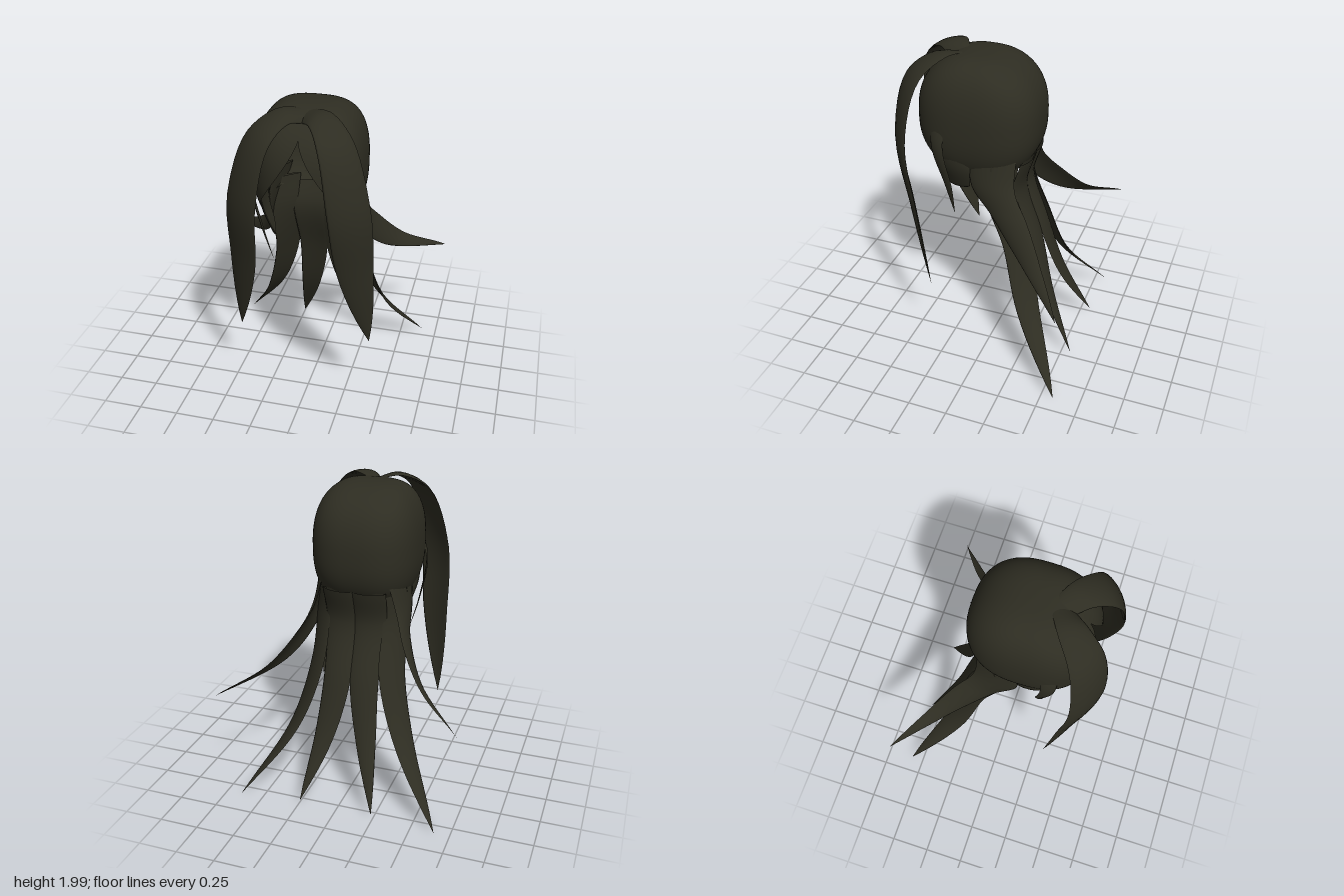
import * as THREE from 'three';

const hair = new THREE.MeshStandardMaterial({ color: 0x2e2d22, side: THREE.DoubleSide });
hair.name = 'dark olive hair';

const vec = (p) => new THREE.Vector3(...p);

// Smooth surface through a grid of points, point(i, j) for rows and columns
function gridMesh(name, rows, cols, point) {
  const pos = [], index = [];
  for (let i = 0; i <= rows; i++) {
    for (let j = 0; j <= cols; j++) {
      pos.push(...point(i, j).toArray());
      if (i < rows && j < cols) {
        const a = i * (cols + 1) + j, c = a + cols + 1;
        index.push(a, a + 1, c, a + 1, c + 1, c);
      }
    }
  }
  const g = new THREE.BufferGeometry();
  g.setAttribute('position', new THREE.Float32BufferAttribute(pos, 3));
  g.setIndex(index);
  g.computeVertexNormals();
  const mesh = new THREE.Mesh(g, hair);
  mesh.name = name;
  return mesh;
}

// Lock of hair: a bowed lens section swept along a path. The half width blends
// from root to end and closes to a point; a higher taper keeps it wide for longer.
function lock(name, path, rootHalf, endHalf, taper, side) {
  const curve = new THREE.CatmullRomCurve3(path.map(vec));
  const root = vec(rootHalf), end = vec(endHalf);
  const rows = 28, cols = 16, thick = 0.1, bow = 0.15;
  return gridMesh(name, rows, cols, (i, j) => {
    const t = i / rows, ang = (j / cols) * Math.PI * 2 * side;
    const half = root.clone().lerp(end, t).multiplyScalar(1 - t ** taper);
    const normal = curve.getTangent(t).cross(half);
    const u = Math.cos(ang), v = Math.sin(ang);
    const p = curve.getPoint(t).addScaledVector(half, u)
      .addScaledVector(normal, thick * v + bow * (1 - u * u));
    p.x *= side;
    return p;
  });
}

// Rounded-square shell whose front edge opens below the parting
function scalp() {
  const rows = 36, cols = 56;
  const square = (v, e) => Math.sign(v) * Math.abs(v) ** e;
  return gridMesh('scalp', rows, cols, (i, j) => {
    const a = (i / rows) * 2.28;
    const y = 1.6 + 0.39 * square(Math.cos(a), 0.83);
    const r = square(Math.sin(a), 0.83);
    const hairline = Math.PI - 3.18 * Math.max(0, 1.86 - y) ** 1.66;
    const ang = (j / cols * 2 - 1) * hairline;
    return vec([
      0.33 * r ** 0.7 * square(Math.sin(ang), 0.75), y,
      0.12 - 0.385 * r * square(Math.cos(ang), 0.75),
    ]);
  });
}

export function createModel() {
  const model = new THREE.Group();
  model.name = 'hair';
  model.add(scalp());

  // Each lock is made once per side
  const pair = (name, path, rootHalf, endHalf, taper) => {
    model.add(lock(name + 'Left', path, rootHalf, endHalf, taper, 1));
    model.add(lock(name + 'Right', path, rootHalf, endHalf, taper, -1));
  };

  // Long locks framing the face
  pair('frontLock',
    [[0, 1.95, 0.27], [0.11, 1.967, 0.36], [0.225, 1.86, 0.48],
      [0.315, 1.5, 0.535], [0.35, 1.05, 0.455], [0.42, 0.5, 0.335]],
    [0.01, 0.02, -0.07], [0.2, 0.015, -0.1], 4);

  // Blunt sideburns and thin wisps at the temples
  pair('sideburn', [[0.27, 1.5, 0.25], [0.265, 1.33, 0.215], [0.21, 1.165, 0.215]],
    [0.01, 0, -0.13], [0.035, 0.01, -0.095], 60);
  pair('templeWisp',
    [[0.26, 1.68, 0.3], [0.32, 1.47, 0.3], [0.29, 1.2, 0.25], [0.22, 0.95, 0.24]],
    [0.015, 0, -0.05], [0.005, 0, -0.03], 3);

  // Locks flaring out behind, rooted under the scalp
  pair('sideLock',
    [[0.24, 1.46, -0.03], [0.28, 1.225, -0.043], [0.33, 1.07, -0.16],
      [0.47, 0.88, -0.34], [0.77, 0.73, -0.61]],
    [-0.035, 0, -0.14], [0.08, 0.01, -0.13], 4);
  pair('outerBackLock',
    [[0.22, 1.38, -0.1], [0.24, 1.15, -0.085], [0.25, 0.85, -0.19],
      [0.375, 0.43, -0.315], [0.65, 0.01, -0.58]],
    [-0.07, 0, -0.065], [-0.065, 0.02, -0.08], 4.5);
  pair('centreBackLock',
    [[0.1, 1.38, -0.205], [0.095, 1.15, -0.15], [0.09, 0.8, -0.26],
      [0.143, 0.42, -0.38], [0.24, 0.04, -0.57]],
    [-0.105, 0, -0.015], [-0.095, -0.02, -0.01], 3.5);
  return model;
}
